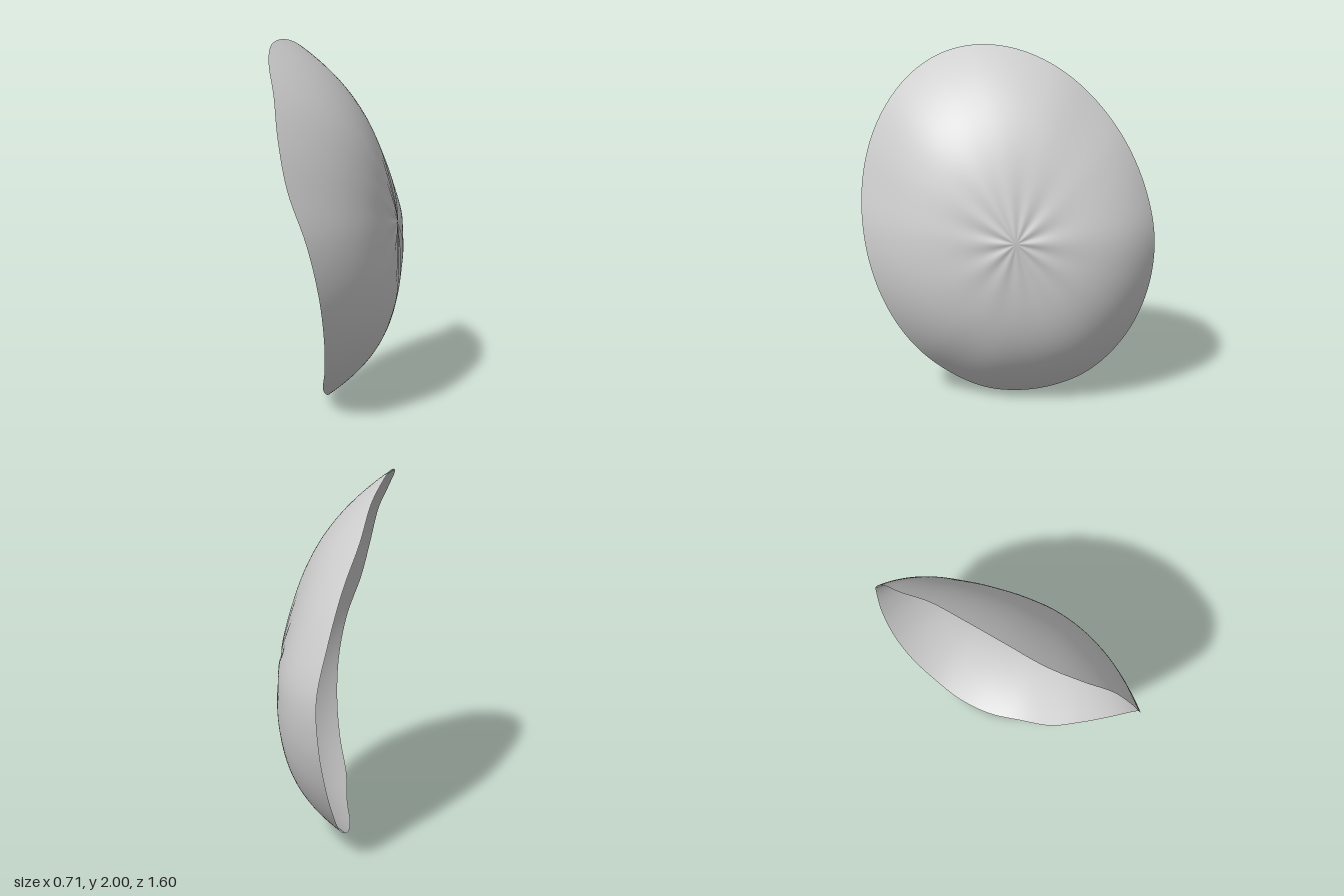
import * as THREE from 'three';

// Depth (x) of the rim every 15 degrees, starting at the top and going towards +z
const RIM = [
  -0.3, -0.35, -0.345, -0.305, -0.275, -0.225, -0.135, -0.08, -0.06, -0.065, -0.085, -0.07,
  -0.065, -0.03, 0.03, 0.08, 0.13, 0.17, 0.18, 0.12, 0.04, -0.06, -0.135, -0.225,
];
// How fast the shell falls away from the pole, every 30 degrees in the same order
const SLOPE = [0.27, 0.28, 0.27, 0.2, 0.09, 0, -0.05, -0.1, -0.14, -0.1, 0.06, 0.2];

const loop = (values) => new THREE.CatmullRomCurve3(
  values.map((x) => new THREE.Vector3(x, 0, 0)), true, 'catmullrom');
const rimCurve = loop(RIM);
const slopeCurve = loop(SLOPE);

const POLE = 0.315; // depth at the middle of the shell
const RINGS = 40;
const SEGMENTS = 144;

// Point on the shell at turn u (0..1) and radius r (0 = pole, 1 = rim)
function shellPoint(u, r) {
  const t = u * Math.PI * 2;
  const rim = rimCurve.getPoint(u).x;
  const slope = slopeCurve.getPoint(u).x;
  // gentle fall from a softened pole, then a rounded turn down to the rim
  const run = Math.hypot(r, 0.05) - 0.05;
  const edge = POLE - slope * (Math.hypot(1, 0.05) - 0.05);
  const dome = POLE - slope * run + (rim - edge) * Math.pow(r, 3.5);
  // shallow creases radiating from the pole, strongest sideways
  const k = r / 0.17;
  const crease = 0.004 * k * k * Math.exp(2 - 2 * k) * Math.cos(12 * t) * (0.4 + 0.6 * Math.sin(t) ** 2);
  return [
    dome + crease,
    1 + r * Math.cos(t),
    0.8 * r * (0.1 * Math.cos(t) + 0.995 * Math.sin(t)),
  ];
}

function shellGeometry() {
  const pos = [POLE, 1, 0];
  const index = [];
  const at = (i, j) => 1 + (i - 1) * SEGMENTS + (j % SEGMENTS);
  for (let i = 1; i <= RINGS; i++) {
    for (let j = 0; j < SEGMENTS; j++) {
      pos.push(...shellPoint(j / SEGMENTS, i / RINGS));
      if (i === 1) index.push(0, at(1, j), at(1, j + 1));
      else {
        index.push(at(i - 1, j), at(i, j), at(i, j + 1));
        index.push(at(i - 1, j), at(i, j + 1), at(i - 1, j + 1));
      }
    }
  }
  const geo = new THREE.BufferGeometry();
  geo.setAttribute('position', new THREE.Float32BufferAttribute(pos, 3));
  geo.setIndex(index);
  geo.computeVertexNormals();
  return geo;
}

export function createModel() {
  const group = new THREE.Group();
  group.name = 'curvedShell';
  const grey = new THREE.MeshStandardMaterial({ color: 0xcccccc, side: THREE.DoubleSide });
  grey.name = 'light grey';
  const shell = new THREE.Mesh(shellGeometry(), grey);
  shell.name = 'shell';
  group.add(shell);
  return group;
}
